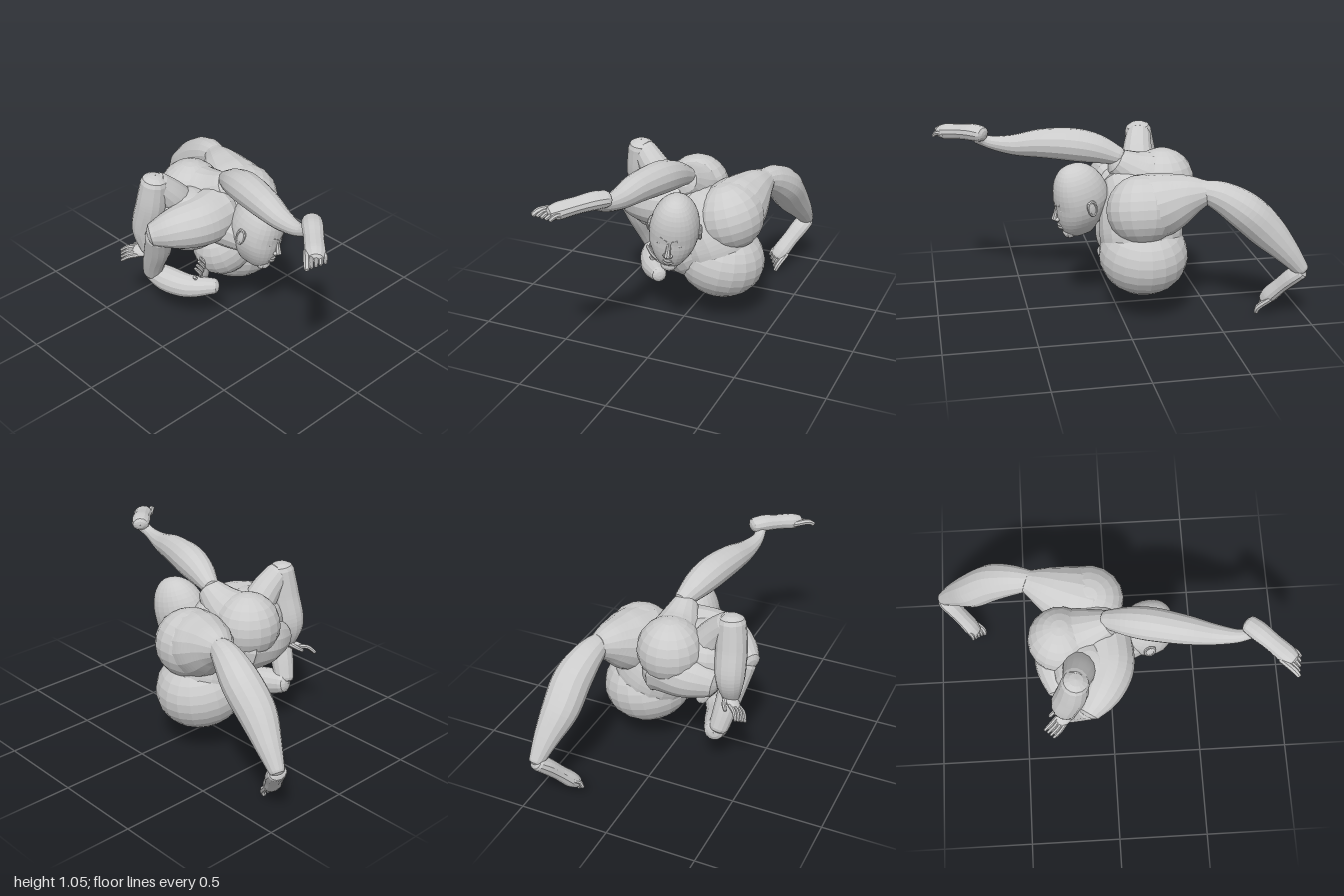
import * as THREE from 'three';

const mat = new THREE.MeshStandardMaterial({ color: 0xcccccc, flatShading: true, side: THREE.DoubleSide });
const V = (a) => new THREE.Vector3(a[0], a[1], a[2]);

function add(parent, name, geo) {
  const m = new THREE.Mesh(geo, mat);
  m.name = name;
  parent.add(m);
  return m;
}

// Loft of round sections; each point is [x, y, z, radius], ends close to a dome
function limb(parent, name, pts, sides = 14, rings = 24) {
  const curve = new THREE.CatmullRomCurve3(pts.map(V));
  const radii = new THREE.CatmullRomCurve3(pts.map((p, i) => new THREE.Vector3(i, p[3], 0)));
  const frames = curve.computeFrenetFrames(rings);
  const pos = [], idx = [];
  const ring = (c, k, r) => {
    for (let j = 0; j < sides; j++) {
      const a = (j / sides) * Math.PI * 2;
      const p = c.clone().addScaledVector(frames.normals[k], Math.cos(a) * r)
        .addScaledVector(frames.binormals[k], Math.sin(a) * r);
      pos.push(p.x, p.y, p.z);
    }
  };
  const caps = [0.02, 0.5, 0.87];
  const cap = (k, s) => (c) => {
    const r = radii.getPoint(k / rings).y;
    ring(curve.getPoint(k / rings).addScaledVector(frames.tangents[k], s * r * 0.6 * Math.sqrt(1 - c * c)), k, r * c);
  };
  caps.forEach(cap(0, -1));
  for (let k = 0; k <= rings; k++) ring(curve.getPoint(k / rings), k, radii.getPoint(k / rings).y);
  caps.slice().reverse().forEach(cap(rings, 1));
  const n = rings + 7;
  for (let i = 0; i < n - 1; i++) for (let j = 0; j < sides; j++) {
    const a = i * sides + j, b = i * sides + (j + 1) % sides;
    idx.push(a, b, a + sides, b, b + sides, a + sides);
  }
  const g = new THREE.BufferGeometry();
  g.setAttribute('position', new THREE.Float32BufferAttribute(pos, 3));
  g.setIndex(idx);
  g.computeVertexNormals();
  return add(parent, name, g);
}

function blob(parent, name, c, s, rot = [0, 0, 0], w = 18, h = 12) {
  const m = add(parent, name, new THREE.SphereGeometry(1, w, h));
  m.position.set(...c);
  m.scale.set(...s);
  m.rotation.set(...rot);
  return m;
}

// Group whose local +z points along forward and +y close to up
function oriented(parent, name, at, forward, up) {
  const g = new THREE.Group();
  g.name = name;
  const f = V(forward).normalize();
  const x = V(up).cross(f).normalize();
  g.quaternion.setFromRotationMatrix(new THREE.Matrix4().makeBasis(x, f.clone().cross(x), f));
  g.position.set(...at);
  parent.add(g);
  return g;
}

// Foot: heel at the origin, toes along +z, sole facing -y
function foot(parent, name, at, forward, up, side) {
  const g = oriented(parent, name, at, forward, up);
  const body = limb(g, 'footBody', [[0, 0, 0, 0.046], [0, 0.005, 0.06, 0.05], [0, 0, 0.15, 0.046], [0, -0.008, 0.24, 0.048], [0, -0.012, 0.28, 0.04]], 12, 14);
  body.scale.set(1.1, 0.9, 1);
  for (let i = 0; i < 5; i++) {
    const x = side * (i - 2) * 0.021, r = i === 0 ? 0.017 : 0.012, l = 0.36 - i * 0.014;
    limb(g, 'toe', [[x, -0.012, 0.24, r], [x * 1.1, -0.008, l - 0.03, r], [x * 1.1, -0.025, l, r * 0.8]], 7, 6);
  }
}

// Hand: wrist at the origin, fingers along +z
function hand(parent, name, at, forward, up, side) {
  const g = oriented(parent, name, at, forward, up);
  blob(g, 'palm', [0, 0, 0.045], [0.045, 0.024, 0.075], [0, 0, 0], 12, 8);
  for (let i = 0; i < 4; i++) {
    const x = (i - 1.5) * 0.02;
    limb(g, 'finger', [[x, 0, 0.08, 0.013], [x * 1.1, 0.008, 0.13, 0.012], [x * 1.1, -0.01, 0.175, 0.009]], 7, 7);
  }
  limb(g, 'thumb', [[side * 0.03, 0, 0.02, 0.016], [side * 0.055, -0.012, 0.06, 0.013], [side * 0.06, -0.02, 0.1, 0.01]], 7, 7);
}

function head(parent) {
  const g = oriented(parent, 'head', [0.2, 0.635, -0.03], [0.94, -0.24, -0.18], [0.2, 0.96, -0.16]);
  const geo = new THREE.SphereGeometry(1, 28, 22);
  const p = geo.attributes.position;
  for (let i = 0; i < p.count; i++) {
    let x = p.getX(i), y = p.getY(i), z = p.getZ(i);
    const low = Math.max(0, -y);
    // jaw narrows, back of the skull rises, face flattens
    x *= 0.135 * (1 - 0.3 * low * low);
    z = z > 0 ? 0.145 * Math.pow(z, 0.8) + 0.035 * low : z * 0.165 * (1 - 0.6 * low);
    p.setXYZ(i, x, y * 0.213, z);
  }
  geo.computeVertexNormals();
  add(g, 'skull', geo);
  limb(g, 'nose', [[0, 0.005, 0.137, 0.011], [0, -0.03, 0.152, 0.014], [0, -0.06, 0.166, 0.018]], 8, 8);
  for (const s of [-1, 1]) {
    blob(g, 'nostril', [s * 0.015, -0.064, 0.155], [0.012, 0.011, 0.016], [0, 0, 0], 8, 6);
    blob(g, 'eye', [s * 0.046, -0.005, 0.122], [0.024, 0.013, 0.016], [0, 0, 0], 10, 7);
    limb(g, 'brow', [[s * 0.015, 0.02, 0.137, 0.009], [s * 0.05, 0.032, 0.126, 0.01], [s * 0.088, 0.02, 0.1, 0.007]], 7, 7);
    blob(g, 'ear', [s * 0.132, -0.01, -0.015], [0.014, 0.048, 0.027], [0.2, s * 0.35, 0], 10, 8);
    const rim = add(g, 'earRim', new THREE.TorusGeometry(0.026, 0.007, 6, 14));
    rim.position.set(s * 0.138, -0.005, -0.018);
    rim.rotation.y = Math.PI / 2 + s * 0.3;
    rim.scale.y = 1.5;
  }
  for (const [y, r] of [[-0.105, 0.011], [-0.121, 0.012]])
    limb(g, 'lip', [[-0.034, y - 0.003, 0.13, 0.004], [0, y, 0.148, r], [0.034, y - 0.003, 0.13, 0.004]], 7, 8);
  blob(g, 'chin', [0, -0.168, 0.1], [0.048, 0.036, 0.04], [0, 0, 0], 10, 8);
}

export function createModel() {
  const model = new THREE.Group();
  model.name = 'contortedFigure';

  // Torso curled over, widest at the bottom and narrowing to the neck
  blob(model, 'lowerTorso', [-0.125, 0.345, -0.175], [0.245, 0.215, 0.25], [-0.2, 0, 0], 20, 14);
  limb(model, 'torso', [[-0.12, 0.34, -0.16, 0.215], [-0.12, 0.47, -0.12, 0.23],
    [-0.1, 0.6, -0.05, 0.2], [-0.06, 0.7, 0.02, 0.14]], 20, 16);
  blob(model, 'ribcage', [-0.05, 0.43, -0.02], [0.165, 0.18, 0.19], [0.5, 0, 0]);
  blob(model, 'buttock', [-0.11, 0.62, -0.23], [0.2, 0.19, 0.19], [0.3, 0, 0]);
  limb(model, 'neck', [[-0.06, 0.64, 0.06, 0.14], [0.05, 0.61, 0.03, 0.12], [0.16, 0.58, -0.01, 0.1]]);
  head(model);

  // Chest and shoulders
  blob(model, 'chest', [-0.12, 0.65, 0.18], [0.2, 0.17, 0.2], [0.1, 0, 0]);
  limb(model, 'leftShoulder', [[-0.03, 0.68, 0.06, 0.15], [-0.02, 0.68, 0.2, 0.14], [-0.07, 0.67, 0.33, 0.115], [-0.13, 0.645, 0.42, 0.07]], 16, 18);
  limb(model, 'rightShoulder', [[-0.24, 0.6, 0.02, 0.19], [-0.28, 0.58, 0.13, 0.14], [-0.27, 0.56, 0.26, 0.095]], 16, 16);

  // Raised arm: bent at the top, forearm hanging in front
  limb(model, 'rightUpperArm', [[-0.17, 0.7, 0.18, 0.1], [-0.18, 0.81, 0.26, 0.085], [-0.2, 0.89, 0.33, 0.07]]);
  limb(model, 'rightForearm', [[-0.2, 0.91, 0.35, 0.075], [-0.22, 0.77, 0.36, 0.085], [-0.26, 0.6, 0.37, 0.08], [-0.24, 0.48, 0.37, 0.05]]);
  hand(model, 'rightHand', [-0.24, 0.475, 0.36], [-0.5, -0.2, 0.5], [0.3, 0.9, 0.3], -1);

  // Lower arm: drops to the elbow, then crosses under the chest
  limb(model, 'leftUpperArm', [[-0.13, 0.62, 0.39, 0.075], [-0.18, 0.5, 0.36, 0.075], [-0.24, 0.38, 0.34, 0.065], [-0.28, 0.28, 0.32, 0.055]]);
  limb(model, 'leftForearm', [[-0.29, 0.26, 0.3, 0.06], [-0.2, 0.245, 0.28, 0.075], [-0.08, 0.235, 0.23, 0.068], [0.04, 0.25, 0.14, 0.045]]);
  hand(model, 'leftHand', [-0.06, 0.26, 0.12], [0.2, 0.6, 0.35], [0.9, 0, -0.3], 1);

  // Leg stretched out to the left
  blob(model, 'leftHip', [-0.27, 0.7, 0.03], [0.18, 0.18, 0.18]);
  limb(model, 'leftThigh', [[-0.26, 0.7, 0.03, 0.165], [-0.13, 0.75, 0.01, 0.13], [-0.02, 0.82, 0, 0.08]], 16, 16);
  limb(model, 'leftShin', [[-0.02, 0.86, -0.01, 0.05], [0.1, 0.9, 0.025, 0.08], [0.22, 0.92, 0.055, 0.09], [0.4, 0.925, 0.1, 0.078],
    [0.55, 0.915, 0.13, 0.055], [0.68, 0.935, 0.15, 0.034], [0.73, 0.965, 0.14, 0.036]], 14, 30);
  foot(model, 'leftFoot', [0.715, 0.99, 0.11], [0.73, -0.05, 0.68], [0.1, 1, 0], 1);

  // Leg bent down to the right
  limb(model, 'rightThigh', [[-0.12, 0.62, -0.22, 0.19], [-0.24, 0.66, -0.25, 0.165], [-0.34, 0.7, -0.28, 0.12], [-0.43, 0.725, -0.31, 0.07]], 16, 16);
  limb(model, 'rightShin', [[-0.41, 0.735, -0.31, 0.055], [-0.5, 0.71, -0.33, 0.08], [-0.63, 0.63, -0.36, 0.103], [-0.76, 0.51, -0.37, 0.1],
    [-0.87, 0.39, -0.4, 0.07], [-0.95, 0.29, -0.42, 0.042]], 14, 30);
  foot(model, 'rightFoot', [-0.95, 0.275, -0.415], [0.57, -0.67, 0.44], [0.8, 0.55, 0.1], -1);
  return model;
}
